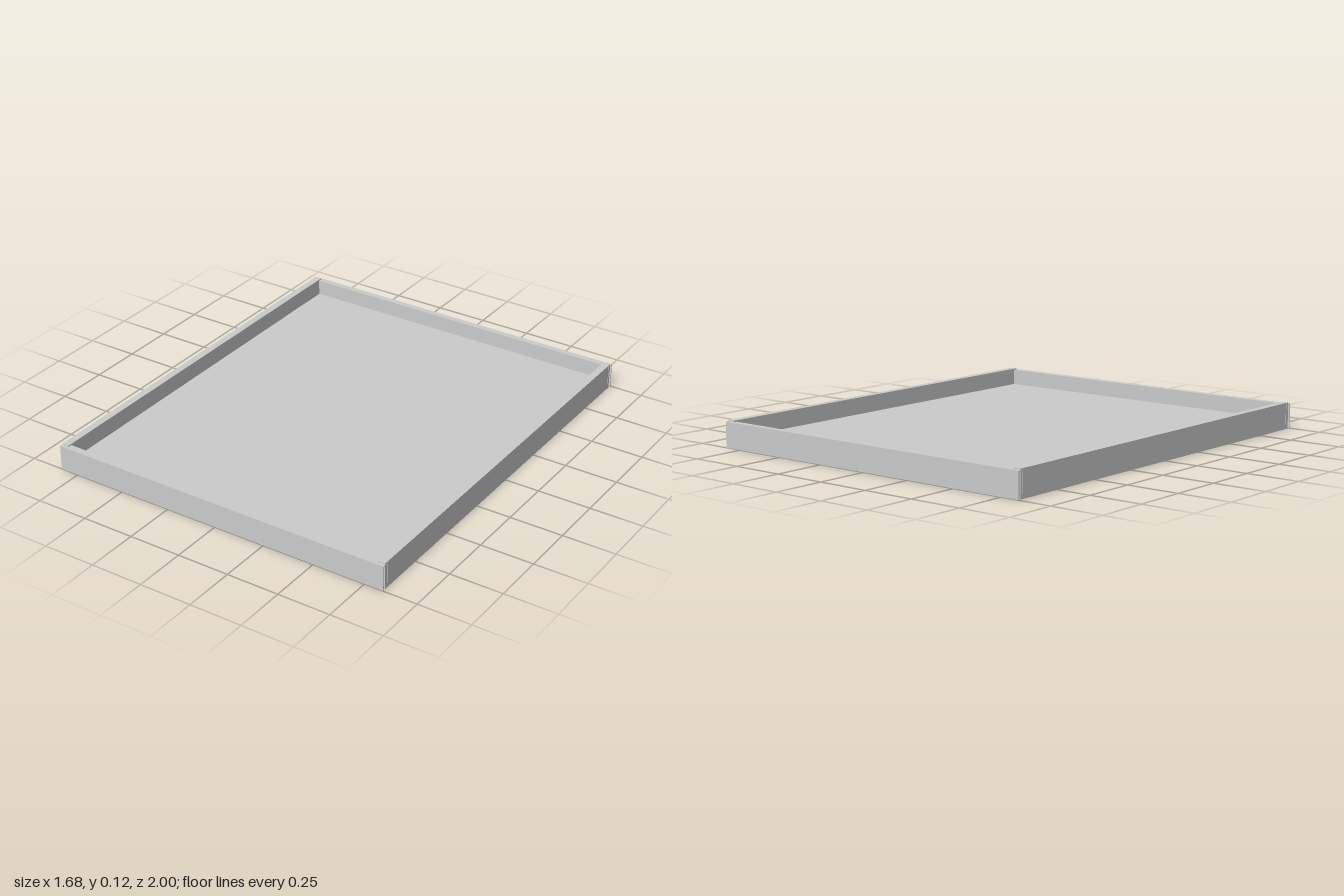
import * as THREE from 'three';

const material = new THREE.MeshStandardMaterial({ color: 0xcccccc });

// Folded sheet rail: tall outer wall, top cap and a shorter inner flange, open underneath.
// The outer wall faces +z before turning, the length runs along x.
function rail(name, length, width, top, angle, distance) {
  const t = 0.004, flangeBottom = 0.022;
  const profile = new THREE.Shape([
    [0, 0], [0, top], [-width, top], [-width, flangeBottom],
    [t - width, flangeBottom], [t - width, top - t], [-t, top - t], [-t, 0],
  ].map(([x, y]) => new THREE.Vector2(x, y)));
  const geometry = new THREE.ExtrudeGeometry(profile, { depth: length, bevelEnabled: false });
  geometry.translate(0, 0, -length / 2);
  geometry.rotateY(-Math.PI / 2);
  geometry.translate(0, 0, distance);
  geometry.rotateY(angle);
  const mesh = new THREE.Mesh(geometry, material);
  mesh.name = name;
  return mesh;
}

export function createModel() {
  const model = new THREE.Group();
  model.name = 'tray';

  // Thin floor panel held between the inner flanges
  const floor = new THREE.Mesh(new THREE.BoxGeometry(1.625, 0.006, 1.945), material);
  floor.name = 'floorPanel';
  floor.position.y = 0.041;
  model.add(floor);

  // End rails run the full width, side rails cap over them at the corners
  model.add(rail('frontRail', 1.68, 0.034, 0.118, 0, 1));
  model.add(rail('backRail', 1.68, 0.03, 0.118, Math.PI, 1));
  model.add(rail('leftRail', 1.97, 0.034, 0.124, Math.PI / 2, 0.838));
  model.add(rail('rightRail', 1.97, 0.034, 0.124, -Math.PI / 2, 0.838));
  return model;
}
